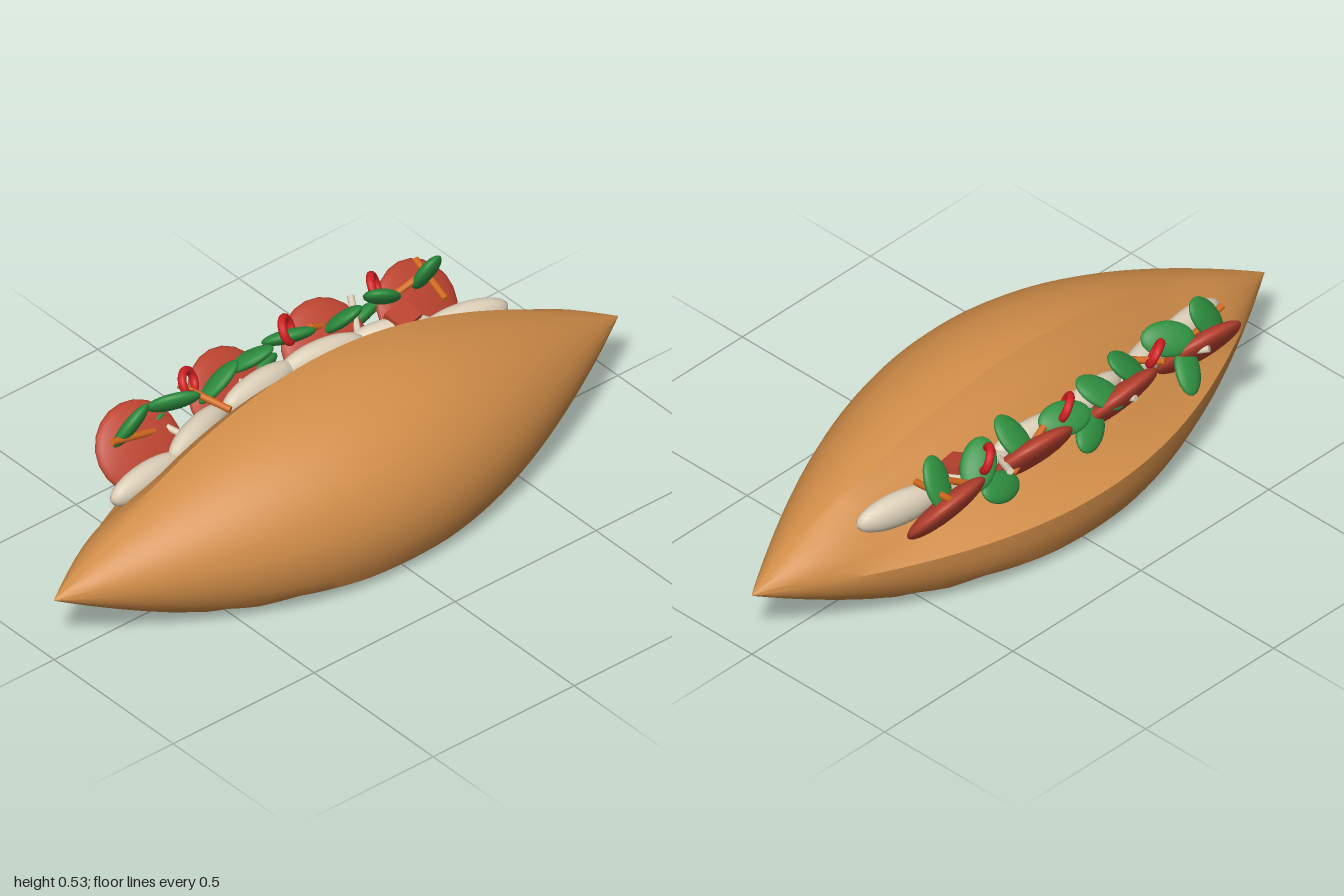
import * as THREE from 'three';
import { toCreasedNormals } from 'three/addons/utils/BufferGeometryUtils.js';

const mat = (name, color) => {
  const m = new THREE.MeshStandardMaterial({ color });
  m.name = name;
  return m;
};

// Relative radius of the loaf at an angle (degrees from the front, over the top): 1 outside the cut
const CUT = [[98, 1], [108, 0.855], [122, 0.78], [137, 0.7], [152, 0.72], [162, 0.77], [170, 0.82], [180, 1]];
function cutRadius(deg) {
  for (let i = 1; i < CUT.length; i++) {
    const [a, ra] = CUT[i - 1], [b, rb] = CUT[i];
    if (deg >= a && deg <= b) return ra + (rb - ra) * (deg - a) / (b - a);
  }
  return 1;
}

// Tapered loaf with a flattened base and a cut along the upper back
function loafGeometry() {
  const angles = [];
  for (let d = 0; d < 98; d += 7) angles.push(d);
  CUT.forEach(([d]) => angles.push(d));
  for (let d = 190; d <= 360; d += 10) angles.push(d);
  const rings = 44, n = angles.length, pos = [], idx = [];
  for (let i = 0; i <= rings; i++) {
    const x = -1 + 2 * i / rings;
    const f = Math.max(0.004, Math.pow(Math.max(0, Math.cos(x * Math.PI / 2)), 0.95));
    const open = 1 - THREE.MathUtils.smoothstep(Math.abs(x), 0.5, 0.92);
    for (const d of angles) {
      const a = THREE.MathUtils.degToRad(d);
      const r = f * (1 - open * (1 - cutRadius(d)));
      let y = 0.327 * r * Math.sin(a);
      if (y < -0.16) y = -0.16 + (y + 0.16) * 0.24;
      pos.push(x, 0.2 + y, 0.366 * r * Math.cos(a));
    }
  }
  for (let i = 0; i < rings; i++) {
    for (let j = 0; j < n - 1; j++) {
      const a = i * n + j, b = a + n;
      idx.push(a, b, a + 1, b, b + 1, a + 1);
    }
  }
  const g = new THREE.BufferGeometry();
  g.setAttribute('position', new THREE.Float32BufferAttribute(pos, 3));
  g.setIndex(idx);
  return toCreasedNormals(g, 0.6);
}

export function createModel() {
  const model = new THREE.Group();
  model.name = 'filledLoaf';
  const crust = mat('crust', 0xd18d48);
  const cream = mat('cream', 0xdccfb8);
  const tomato = mat('tomato', 0xbc4330);
  const leaf = mat('leaf green', 0x2f8f40);
  const chili = mat('chili red', 0xd01f22);
  const carrot = mat('carrot orange', 0xd2691e);

  const add = (name, geo, m, p, r = [0, 0, 0], s = [1, 1, 1]) => {
    const mesh = new THREE.Mesh(geo, m);
    mesh.name = name;
    mesh.position.set(...p);
    mesh.rotation.set(...r);
    mesh.scale.set(...s);
    model.add(mesh);
  };
  const ball = new THREE.SphereGeometry(1, 20, 14);

  add('loaf', loafGeometry(), crust, [0, 0, 0]);

  // Pale strips lying along the cut: x, y, z, yaw
  [[-0.56, 0.325, -0.13, 0.1], [-0.34, 0.35, -0.175, 0.3], [-0.1, 0.37, -0.205, 0.1],
    [0.12, 0.37, -0.205, -0.1], [0.34, 0.35, -0.18, -0.3], [0.56, 0.325, -0.13, -0.2]]
    .forEach(([x, y, z, yaw]) => add('paleStrip', ball, cream, [x, y, z], [0, yaw, 0], [0.14, 0.052, 0.04]));

  // Tomato slices leaning out of the cut: x, y, z, roll
  [[-0.5, 0.345, -0.235, 0.08], [-0.17, 0.36, -0.25, -0.06], [0.17, 0.36, -0.25, 0.06], [0.49, 0.345, -0.24, -0.08]]
    .forEach(([x, y, z, roll]) => add('tomatoSlice', ball, tomato, [x, y, z], [0.9, 0, roll], [0.135, 0.032, 0.13]));

  // Leaves: x, y, z, rotation
  [[-0.53, 0.43, -0.235, 0.5, 0.3, -0.6], [-0.38, 0.44, -0.235, 0.7, -0.3, -1.1],
    [-0.22, 0.43, -0.235, 0.9, 0.5, -1.0], [-0.09, 0.43, -0.26, 1.0, 0.2, -0.7],
    [0.06, 0.43, -0.27, 0.9, -0.2, -1.3], [0.22, 0.43, -0.235, 0.8, 0.2, -0.2],
    [0.37, 0.43, -0.245, 0.9, -0.4, 0.8], [0.52, 0.445, -0.235, 0.5, 0.2, 0.1]]
    .forEach(([x, y, z, ...r]) => add('leaf', ball, leaf, [x, y, z], r, [0.05, 0.078, 0.02]));
  // Lower leaves on the outer side
  [-0.4, -0.02, 0.33].forEach((x, i) =>
    add('lowerLeaf', ball, leaf, [x, 0.355, -0.29], [0.7, 0.2, 0.5 + i * 0.6], [0.045, 0.075, 0.02]));

  // Chili rings
  const ring = new THREE.TorusGeometry(0.034, 0.012, 10, 24);
  [[-0.3, 0.45], [0.05, 0.46], [0.36, 0.455]].forEach(([x, y], i) =>
    add('chiliRing', ring, chili, [x, y, -0.265], [-0.5, 0.5 + i * 0.15, 0]));

  // Carrot sticks and pale shreds: x, y, z, rotation
  const stick = new THREE.CylinderGeometry(0.01, 0.01, 0.16, 10);
  [[-0.53, 0.40, -0.225, 0.2, 0, 1.3], [-0.28, 0.415, -0.22, -1.35, 0, 0.4], [0.2, 0.4, -0.27, 0.3, 0, 1.1],
    [0.42, 0.4, -0.26, 0.5, 0, -1.0], [0.53, 0.42, -0.23, -1.35, 0, -0.15]]
    .forEach(([x, y, z, ...r]) => add('carrotStick', stick, carrot, [x, y, z], r));
  [[-0.14, 0.39, -0.255, -1.3, 0, 0.2], [0.28, 0.39, -0.25, -1.2, 0, -0.5], [-0.42, 0.38, -0.25, -1.2, 0, 0.5]]
    .forEach(([x, y, z, ...r]) => add('paleShred', stick, cream, [x, y, z], r));

  // Small tomato wedge near the left end
  add('tomatoWedge', new THREE.BoxGeometry(0.08, 0.025, 0.07), tomato, [0.38, 0.40, -0.17], [0.3, 0.2, 0]);
  return model;
}
